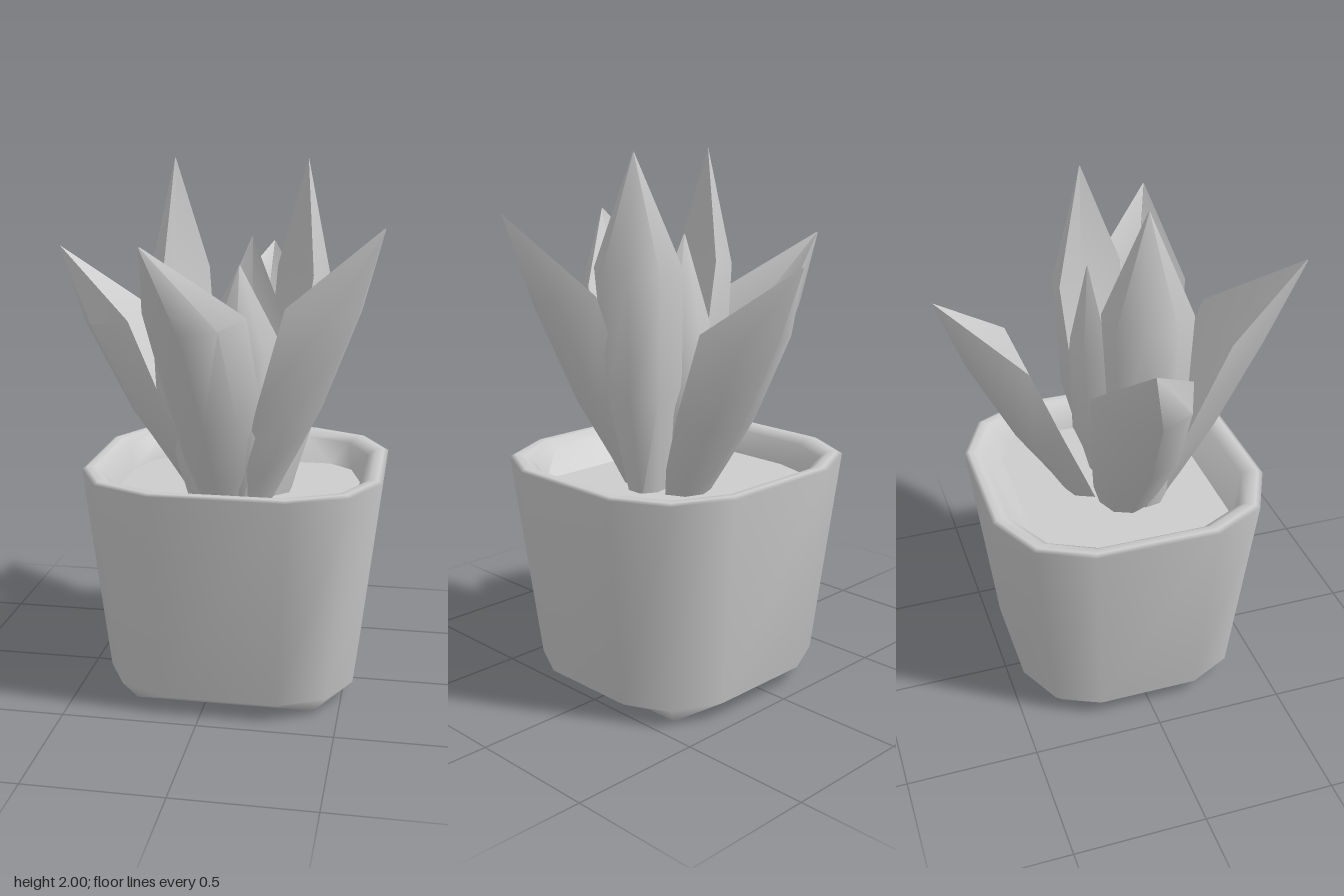
import * as THREE from 'three';
import { toCreasedNormals } from 'three/addons/utils/BufferGeometryUtils.js';

// Skins a stack of closed rings (each an array of [x, y, z])
function loft(rings) {
  const n = rings[0].length, index = [];
  for (let i = 0; i < rings.length - 1; i++) {
    for (let j = 0; j < n; j++) {
      const a = i * n + j, b = i * n + (j + 1) % n;
      index.push(a, a + n, b, b, a + n, b + n);
    }
  }
  const geometry = new THREE.BufferGeometry();
  geometry.setAttribute('position', new THREE.Float32BufferAttribute(rings.flat(2), 3));
  geometry.setIndex(index);
  geometry.computeVertexNormals();
  return geometry;
}

// Corner shapes of the pot's rounded square, three points per corner
const ROUND = [[1, 0.44], [0.82, 0.81], [0.44, 1]];
const SQUARE = [[1, 0.6], [1, 1], [0.6, 1]];
const SOFT = [[1, 0.35], [0.9, 0.8], [0.7, 1]];

function potRing(y, hx, hz, shape = ROUND) {
  const back = [...shape].reverse();
  const corners = [
    ...shape,
    ...back.map(([x, z]) => [-x, z]),
    ...shape.map(([x, z]) => [-x, -z]),
    ...back.map(([x, z]) => [x, -z]),
  ];
  return corners.map(([x, z]) => [0.075 + x * hx, y, -0.01 + z * hz]);
}

// Leaf stations: [edge out, edge height, keel out, keel height, half width],
// out is a share of the tip's reach, height a share of the leaf's length
const OUTER = [
  [0.13, 0, 0.27, 0, 0.09],
  [0.22, 0.16, 0.38, 0.13, 0.14],
  [0.36, 0.4, 0.58, 0.34, 0.175],
  [0.55, 0.74, 0.84, 0.7, 0.188],
  [0.995, 1, 1, 0.995, 0.002],
];
const INNER = [
  [0.25, 0, 0.75, 0, 0.08],
  [0.6, 0.34, 1.3, 0.32, 0.145],
  [0.8, 0.68, 1.33, 0.66, 0.165],
  [0.99, 1, 1, 0.995, 0.002],
];
// Cross-section: [side, share from edge to keel]
const SECTION = [[0, 1], [0.66, 0.74], [1, 0], [0, 0.38], [-1, 0], [-0.66, 0.74]];
const SOIL_Y = 0.76;

// Lean bends the upper blade sideways towards the tip
function leafGeometry(stations, tip, degrees, reach, lean = 0, breadth = 1) {
  const angle = THREE.MathUtils.degToRad(degrees);
  const c = Math.cos(angle), s = Math.sin(angle);
  const x0 = tip[0] - c * reach + s * lean, z0 = tip[2] - s * reach - c * lean;
  const base = SOIL_Y - 0.03, length = tip[1] - base;
  const rings = stations.map(([eo, ey, ko, ky, w]) => SECTION.map(([side, k]) => {
    const out = THREE.MathUtils.lerp(eo, ko, k) * reach;
    const y = base + THREE.MathUtils.lerp(ey, ky, k) * length;
    const across = side * w * breadth + lean * ey ** 4;
    return [x0 + c * out - s * across, y, z0 + s * out + c * across];
  }));
  return toCreasedNormals(loft(rings), 1.0);
}

export function createModel() {
  const model = new THREE.Group();
  const grey = new THREE.MeshStandardMaterial({ color: 0xcccccc });
  grey.name = 'light grey';
  const add = (name, geometry) => {
    const mesh = new THREE.Mesh(geometry, grey);
    mesh.name = name;
    model.add(mesh);
  };

  // Pot: closed base, tapered wall, rolled rim and inner wall
  add('pot', loft([
    potRing(0, 0, 0, SQUARE),
    potRing(0, 0.335, 0.32, SQUARE),
    potRing(0.07, 0.467, 0.443),
    potRing(0.866, 0.557, 0.535),
    potRing(0.874, 0.54, 0.518),
    potRing(0.872, 0.51, 0.49),
    potRing(0.85, 0.48, 0.46),
    potRing(SOIL_Y, 0.455, 0.375, SOFT),
  ]));

  // Soil disc
  add('soil', loft([potRing(SOIL_Y, 0.455, 0.375, SOFT), potRing(SOIL_Y, 0, 0, SOFT)]));

  // Spreading outer leaves: tip, heading from +x towards +z, reach, lean
  const outer = {
    rightOuterLeaf: [[-0.64, 1.66, -0.09], 180, 0.73, 0.1],
    backOuterLeaf: [[0.12, 1.64, -0.65], -90, 0.65],
    frontOuterLeaf: [[-0.15, 1.74, 0.65], 95, 0.65, 0.14],
    leftOuterLeaf: [[0.62, 1.78, 0.3], 24, 0.62],
  };
  for (const [name, leaf] of Object.entries(outer)) add(name, leafGeometry(OUTER, ...leaf));

  // Upright inner leaves: tip, heading, reach, lean, breadth
  const inner = {
    rightInnerLeaf: [[-0.155, 2, 0.05], 200, 0.24],
    leftInnerLeaf: [[0.32, 2, -0.05], -30, 0.24],
    backInnerLeaf: [[0.11, 1.71, -0.09], -90, 0.22, 0, 0.8],
    frontInnerLeaf: [[0.11, 1.64, 0.23], 90, 0.22, 0, 0.9],
  };
  for (const [name, leaf] of Object.entries(inner)) add(name, leafGeometry(INNER, ...leaf));
  return model;
}
